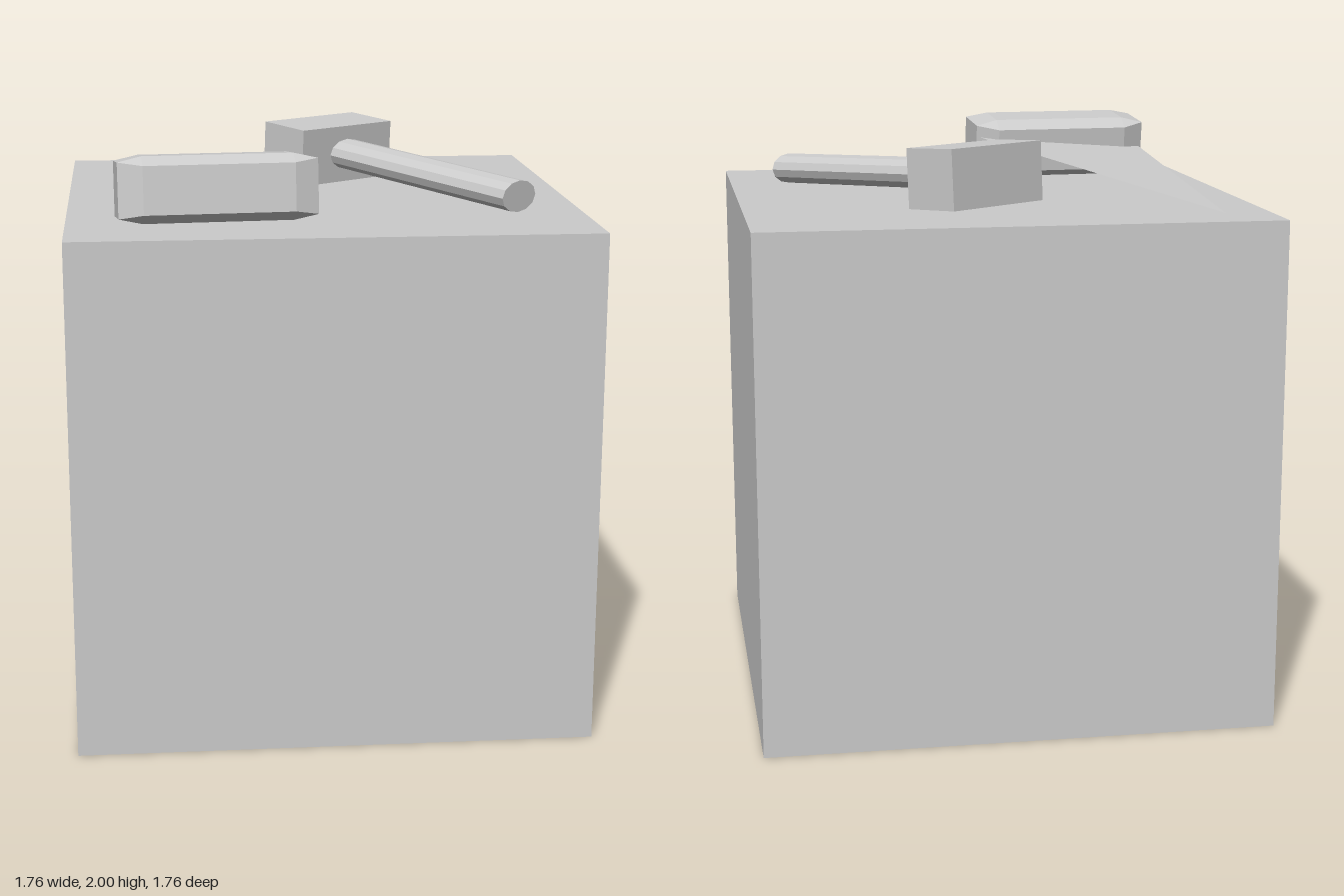
import * as THREE from 'three';
import { ConvexGeometry } from 'three/addons/geometries/ConvexGeometry.js';

const material = new THREE.MeshStandardMaterial({ color: 0xcccccc, flatShading: true });
const sheetMaterial = new THREE.MeshStandardMaterial({ color: 0xcccccc, flatShading: true, side: THREE.DoubleSide });

function part(name, geometry, parent, mat = material) {
  const mesh = new THREE.Mesh(geometry, mat);
  mesh.name = name;
  parent.add(mesh);
  return mesh;
}

// All sign combinations of a half-size, giving the eight corners of a box
function corners(x, y, z) {
  const points = [];
  for (const sx of [-1, 1]) for (const sy of [-1, 1]) for (const sz of [-1, 1])
    points.push(new THREE.Vector3(sx * x, sy * y, sz * z));
  return points;
}

export function createModel() {
  const model = new THREE.Group();
  model.name = 'blockWithTools';

  // Large cube
  part('block', new THREE.BoxGeometry(1.76, 1.76, 1.76), model).position.y = 0.88;

  // Mallet resting on its head and the end of its handle
  const mallet = new THREE.Group();
  mallet.name = 'mallet';
  mallet.position.set(0.08, 1.87, -0.36);
  mallet.rotation.set(0.056, 0.62, 0, 'YXZ');
  model.add(mallet);
  part('malletHead', new THREE.BoxGeometry(0.43, 0.207, 0.22), mallet);
  const handle = new THREE.CylinderGeometry(1, 1, 0.89, 12).rotateX(Math.PI / 2).scale(0.08, 0.055, 1);
  part('malletHandle', handle, mallet).position.z = 0.11 + 0.445;

  // Bevelled grip of the pointed tool
  const grip = part('bladeGrip', new ConvexGeometry([
    ...corners(0.33, 0.092, 0.09),
    ...corners(0.25, 0.08, 0.126),
    ...corners(0.25, 0.11, 0.075),
  ]), model);
  grip.position.set(-0.38, 1.88, 0.577);
  grip.rotation.set(-0.11, 0.077, 0, 'YXZ');

  // Thin triangular blade sloping down to its tip
  const blade = new THREE.BufferGeometry().setFromPoints([
    new THREE.Vector3(-0.71, 1.766, -0.71),
    new THREE.Vector3(-0.705, 1.87, 0.52),
    new THREE.Vector3(-0.06, 1.92, 0.47),
  ]);
  blade.computeVertexNormals();
  part('blade', blade, model, sheetMaterial);

  return model;
}
